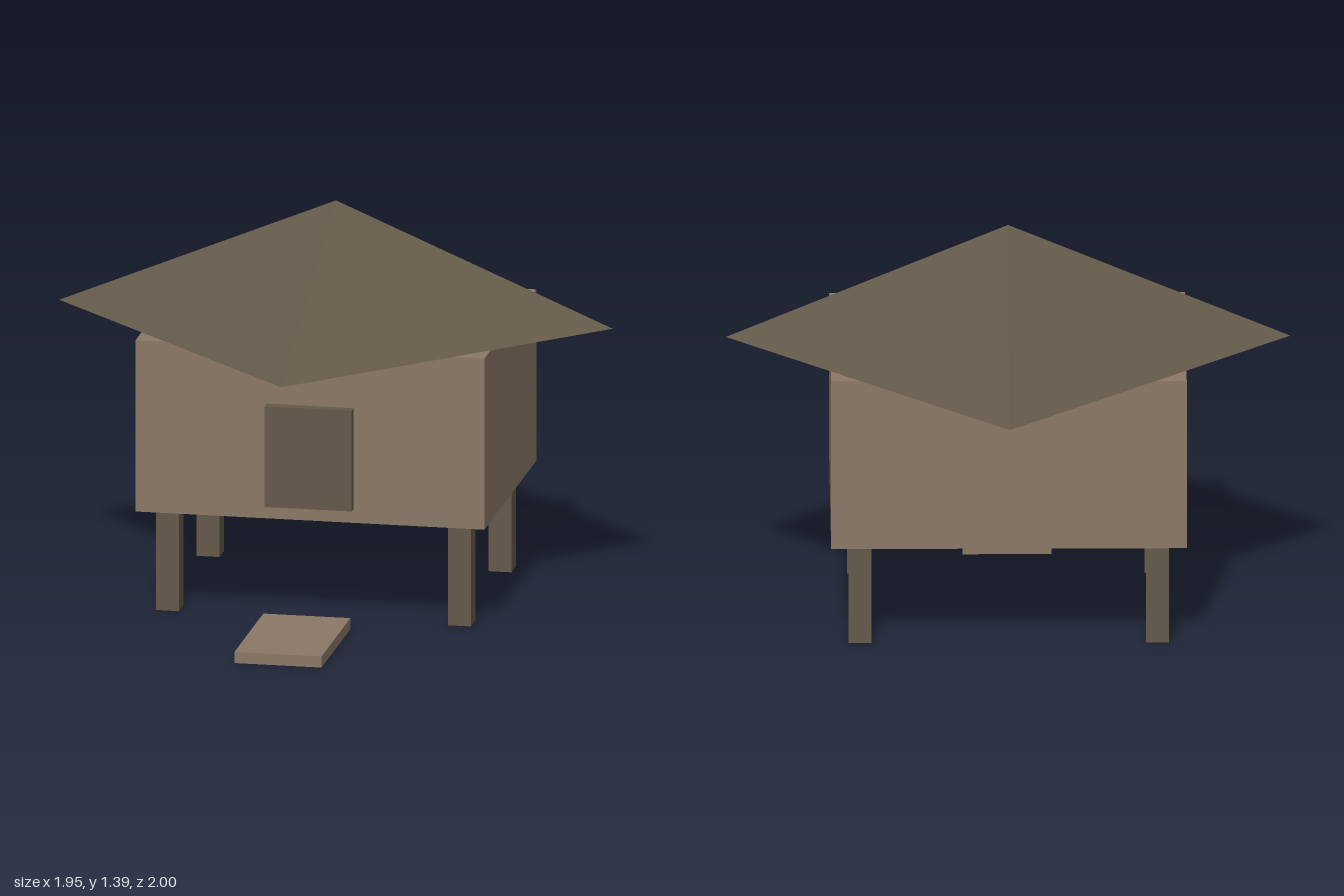
import * as THREE from 'three';

export function createModel() {
  const model = new THREE.Group();
  const paleWood = new THREE.MeshStandardMaterial({ color: 0x8a7866 });
  paleWood.name = 'pale wood';
  const darkWood = new THREE.MeshStandardMaterial({ color: 0x635949 });
  darkWood.name = 'dark wood';
  const midZ = -0.027; // centre line of the hut

  // Box given by its size, the centre in x and z, and its underside
  function box(name, material, w, h, d, x, bottom, z) {
    const mesh = new THREE.Mesh(new THREE.BoxGeometry(w, h, d), material);
    mesh.name = name;
    mesh.position.set(x, bottom + h / 2, z);
    model.add(mesh);
  }

  // Cabin on four stilts
  box('cabin', paleWood, 1.226, 0.612, 0.92, 0, 0.365, midZ);
  for (const sx of [-1, 1]) {
    for (const sz of [-1, 1]) {
      const name = (sz > 0 ? 'front' : 'back') + (sx > 0 ? 'Left' : 'Right') + 'Stilt';
      box(name, darkWood, 0.08, 0.365, 0.08, sx * 0.513, 0, midZ + sz * 0.36);
    }
  }

  // Door on the front wall and the step before it
  box('door', darkWood, 0.306, 0.36, 0.06, 0, 0.415, 0.438);
  box('step', paleWood, 0.306, 0.04, 0.51, 0, 0, 0.745);

  // Four-sided pyramid roof, corners pointing along the axes
  const roofShape = new THREE.ConeGeometry(0.973, 0.407, 4).toNonIndexed();
  roofShape.computeVertexNormals();
  const roof = new THREE.Mesh(roofShape, darkWood);
  roof.name = 'roof';
  roof.position.set(0, 0.979 + 0.407 / 2, midZ);
  model.add(roof);

  return model;
}
